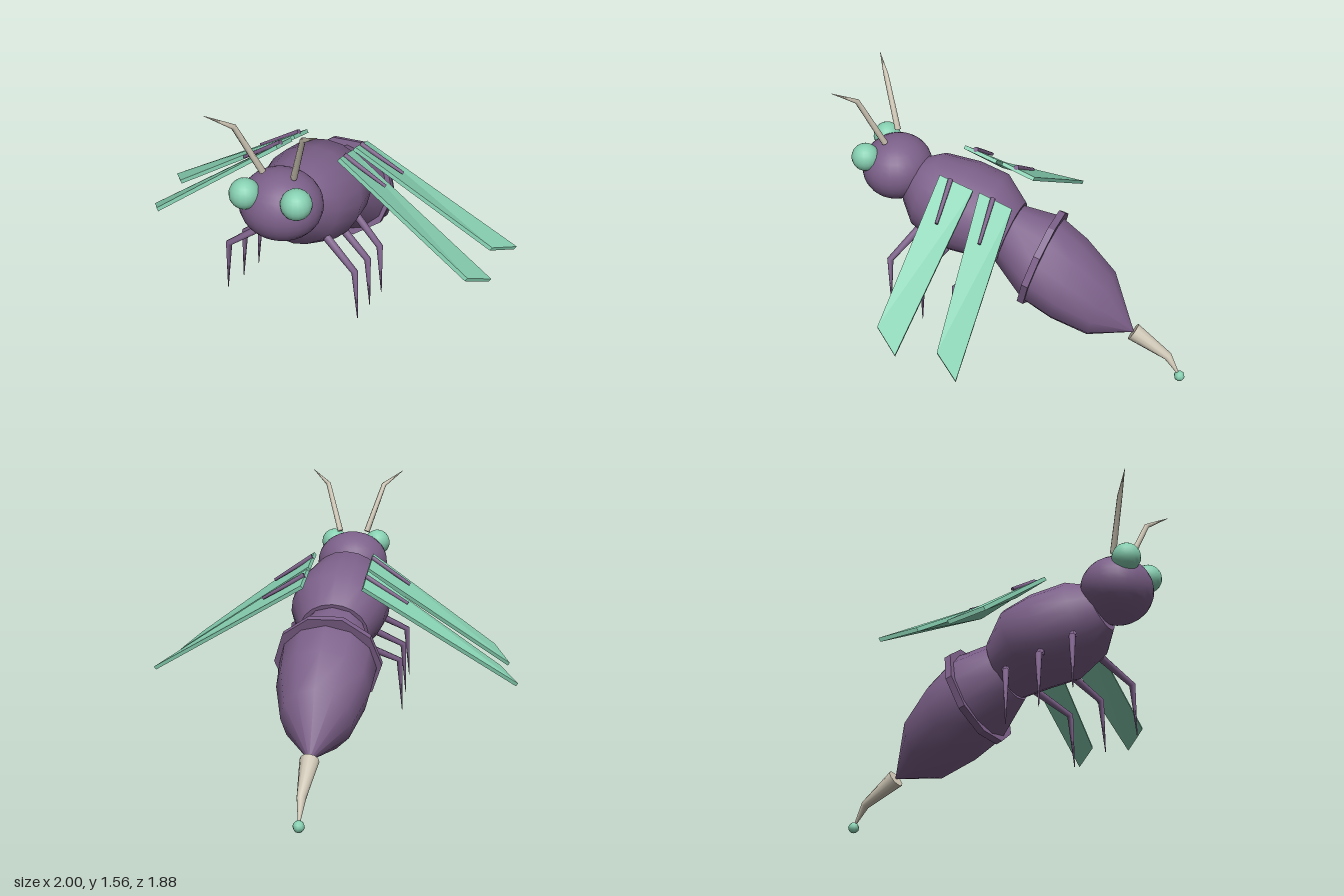
import * as THREE from 'three';

const mat = (name, color) => Object.assign(new THREE.MeshStandardMaterial({ color }), { name });
const V = (x, y, z) => new THREE.Vector3(x, y, z);

// Closed skin over a list of equally sized point rings, with hard-edged end caps.
function skin(rings, flat = false) {
  const centre = r => {
    const c = r.reduce((a, p) => a.add(p), V(0, 0, 0)).divideScalar(r.length);
    return r.map(() => c);
  };
  const first = rings[0], last = rings[rings.length - 1];
  const all = [centre(first), first, ...rings, last, centre(last)];
  const n = first.length, index = [];
  for (let i = 0; i < all.length - 1; i++) {
    if (i === 1 || i === all.length - 3) continue;
    for (let j = 0; j < n; j++) {
      const a = i * n + j, b = i * n + (j + 1) % n;
      index.push(a, b, b + n, a, b + n, a + n);
    }
  }
  let g = new THREE.BufferGeometry().setFromPoints(all.flat());
  g.setIndex(index);
  if (flat) g = g.toNonIndexed();
  g.computeVertexNormals();
  return g;
}

// Ellipse of n points spanned by half-axes u and v.
function ellipse(c, u, v, n) {
  return Array.from({ length: n }, (_, j) => {
    const a = (j / n) * Math.PI * 2;
    return c.clone().addScaledVector(u, Math.cos(a)).addScaledVector(v, Math.sin(a));
  });
}

// Leaning body section: [z, y, half width, half height]
const section = ([z, y, w, h], n) => ellipse(V(0, y, z), V(w, 0, 0), V(0, h, -0.3 * h), n);

// Jointed tapering limb through points with a radius at each.
function limb(points, radii, n = 7) {
  return skin(points.map((p, i) => {
    const t = points[Math.min(i + 1, points.length - 1)].clone()
      .sub(points[Math.max(i - 1, 0)]).normalize();
    const u = V(0.3, 0.1, 1).cross(t).normalize();
    const v = t.clone().cross(u);
    return ellipse(p, u.multiplyScalar(radii[i]), v.multiplyScalar(radii[i]), n);
  }));
}

export function createModel() {
  const group = new THREE.Group();
  const purple = mat('purple', 0x7c6089);
  const green = mat('mint green', 0x86cfb1);
  const bone = mat('bone', 0xcdc5b4);

  const add = (name, geometry, material) => {
    const m = new THREE.Mesh(geometry, material);
    m.name = name;
    group.add(m);
    return m;
  };

  // Head
  const head = add('head', new THREE.SphereGeometry(1, 24, 16), purple);
  head.position.set(0, 1.04, 0.735);
  head.scale.set(0.205, 0.174, 0.188);

  // Thorax and abdomen, listed from back to front
  add('thorax', skin([
    [0.07, 0.755, 0.19, 0.165], [0.2, 0.84, 0.262, 0.222], [0.37, 0.87, 0.272, 0.24],
    [0.55, 0.93, 0.22, 0.205], [0.64, 0.97, 0.13, 0.13],
  ].map(s => section(s, 20))), purple);

  add('abdomen', skin([
    [-0.635, 0.27, 0.004, 0.004], [-0.445, 0.412, 0.188, 0.182], [-0.26, 0.53, 0.25, 0.225],
    [-0.1, 0.63, 0.264, 0.235], [0.085, 0.74, 0.18, 0.165],
  ].map(s => section(s, 12))), purple);

  // Raised band round the abdomen
  add('abdomenBand', skin([
    [-0.125, 0.632, 0.29, 0.265], [-0.09, 0.643, 0.29, 0.265],
  ].map(s => section(s, 10)), true), purple);

  // Stinger with a bead at its tip
  add('stinger', limb([V(0, 0.268, -0.635), V(0, 0.152, -0.838), V(0, 0.045, -0.905)],
    [0.05, 0.024, 0.005], 12), bone);
  add('stingerBead', new THREE.SphereGeometry(0.03, 8, 6), green).position.set(0, 0.034, -0.91);

  // Wing corners on the left: root back, root front, tip front, tip back; then the vein
  const wings = [
    { name: 'front', corners: [[0.17, 1.085, 0.22], [0.17, 1.14, 0.405], [0.86, 0.635, 0.46], [0.95, 0.56, 0.325]],
      vein: [[0.17, 1.125, 0.345], [0.385, 0.985, 0.335]] },
    { name: 'rear', corners: [[0.17, 1.02, 0.005], [0.17, 1.08, 0.185], [0.9, 0.6, 0.12], [1, 0.54, -0.02]],
      vein: [[0.17, 1.06, 0.11], [0.4, 0.925, 0.095]] },
  ];
  // Legs on the left: hip, knee, foot
  const legs = [
    [[0.16, 0.765, 0.555], [0.34, 0.66, 0.642], [0.358, 0.38, 0.645]],
    [[0.16, 0.715, 0.37], [0.34, 0.61, 0.455], [0.358, 0.325, 0.46]],
    [[0.16, 0.665, 0.16], [0.34, 0.565, 0.268], [0.358, 0.275, 0.275]],
  ];

  for (const s of [1, -1]) {
    const side = s > 0 ? 'left' : 'right';
    const P = ([x, y, z]) => V(s * x, y, z);

    // Eyes
    add(side + 'Eye', new THREE.SphereGeometry(0.075, 18, 12), green)
      .position.set(s * 0.13, 1.138, 0.855);

    // Antennae
    add(side + 'Antenna', limb(
      [[0.08, 1.215, 0.76], [0.168, 1.485, 0.855], [0.272, 1.562, 0.937]].map(P),
      [0.017, 0.014, 0.001]), bone);

    // Wings and their veins
    for (const { name, corners, vein } of wings) {
      const [rb, rf, tf, tb] = corners.map(P);
      const lift = V(s * 0.011, 0.017, -0.005);
      const edge = (b, f) => {
        const ring = [b, f, f.clone().sub(lift), b.clone().sub(lift)];
        return s > 0 ? ring : ring.reverse();
      };
      add(`${side} ${name} wing`, skin([edge(rb, rf), edge(tb, tf)], true), green);
      add(`${side} ${name} wing vein`, limb(vein.map(P), [0.015, 0.009], 6), purple);
    }

    // Legs
    legs.forEach((leg, i) =>
      add(`${side} leg ${i + 1}`, limb(leg.map(P), [0.022, 0.018, 0.002]), purple));
  }
  return group;
}
